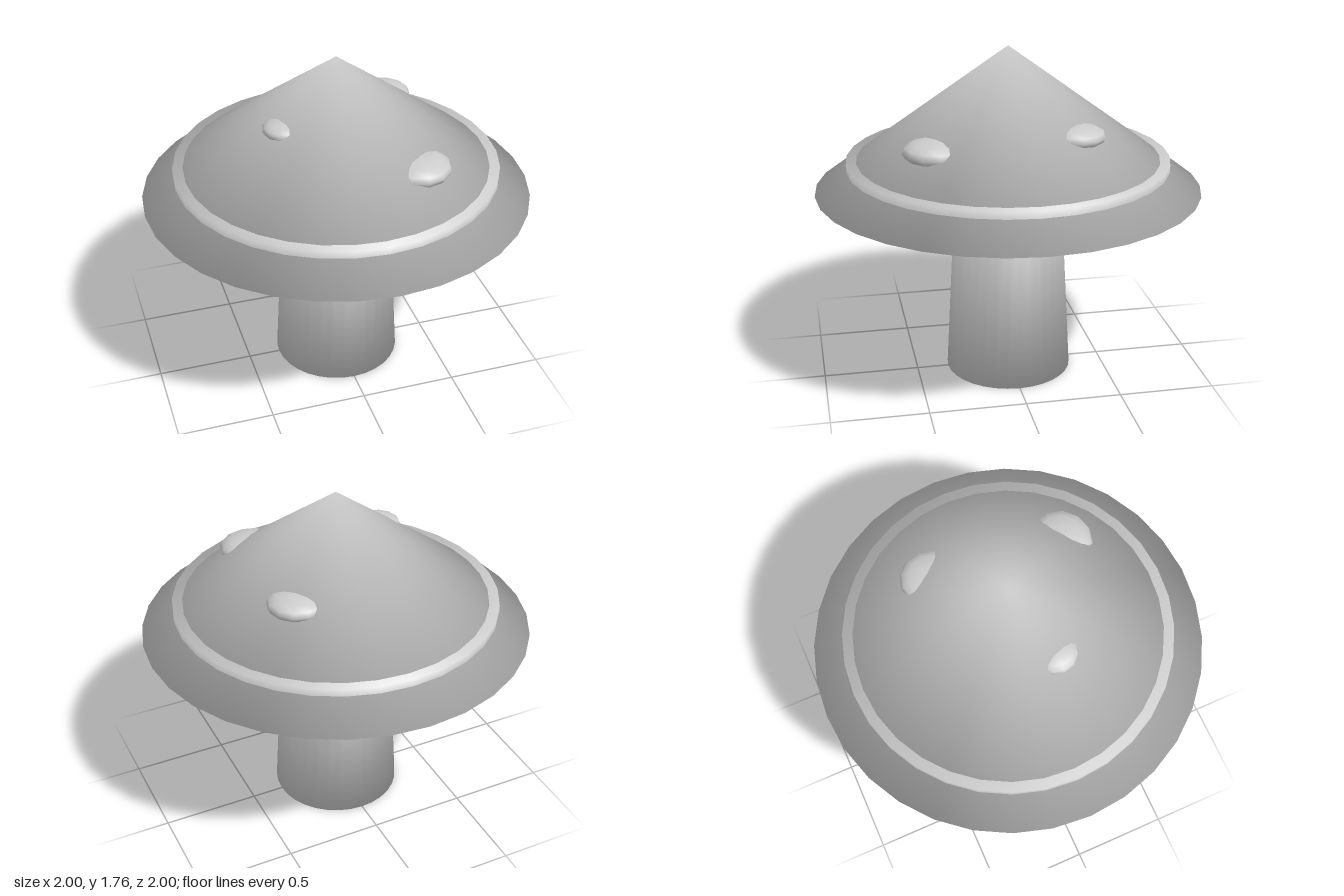
import * as THREE from 'three';

const SIDES = 32;

// Closed round solid whose shared rim normals blend the side with the end faces
function softSolid(bottomRadius, bottomY, topRadius, topY) {
  const positions = [], normals = [], index = [];
  const side = new THREE.Vector2(topY - bottomY, bottomRadius - topRadius).normalize();

  function addRing(radius, y, cap) {
    const out = radius > 0 ? side.x : 0;
    const n = new THREE.Vector2(out, side.y + cap).normalize();
    for (let i = 0; i < SIDES; i++) {
      const a = (i / SIDES) * Math.PI * 2;
      positions.push(Math.sin(a) * radius, y, Math.cos(a) * radius);
      normals.push(Math.sin(a) * n.x, n.y, Math.cos(a) * n.x);
    }
  }
  addRing(bottomRadius, bottomY, -1);
  addRing(topRadius, topY, 1);

  for (let i = 0; i < SIDES; i++) {
    const j = (i + 1) % SIDES;
    index.push(i, j, SIDES + j);
    if (topRadius > 0) index.push(i, SIDES + j, SIDES + i);
  }
  for (let i = 1; i < SIDES - 1; i++) {
    index.push(0, i + 1, i);
    if (topRadius > 0) index.push(SIDES, SIDES + i, SIDES + i + 1);
  }

  const geometry = new THREE.BufferGeometry();
  geometry.setAttribute('position', new THREE.Float32BufferAttribute(positions, 3));
  geometry.setAttribute('normal', new THREE.Float32BufferAttribute(normals, 3));
  geometry.setIndex(index);
  return geometry;
}

export function createModel() {
  const model = new THREE.Group();
  model.name = 'mushroom';
  const grey = new THREE.MeshStandardMaterial({ color: 0xcccccc });
  grey.name = 'light grey';

  function add(name, geometry) {
    const mesh = new THREE.Mesh(geometry, grey);
    mesh.name = name;
    model.add(mesh);
    return mesh;
  }

  // Tapered stem, ending inside the cap
  add('stem', softSolid(0.333, 0, 0.273, 1.1));

  // Conical cap and the band around it
  add('cap', softSolid(1, 1.02, 0, 1.76));
  add('capBand', softSolid(0.836, 1.03, 0.836, 1.18));

  // Flattened spots half sunk into the cap: x, y, z, radius
  const spots = [
    [0.287, 1.315, 0.41, 0.17],
    [0.338, 1.372, -0.274, 0.15],
    [-0.294, 1.468, 0.112, 0.115],
  ];
  spots.forEach(([x, y, z, radius], i) => {
    const spot = add(`spot${i + 1}`, new THREE.SphereGeometry(radius, 12, 8));
    spot.scale.y = 0.39;
    spot.position.set(x, y, z);
  });

  return model;
}
